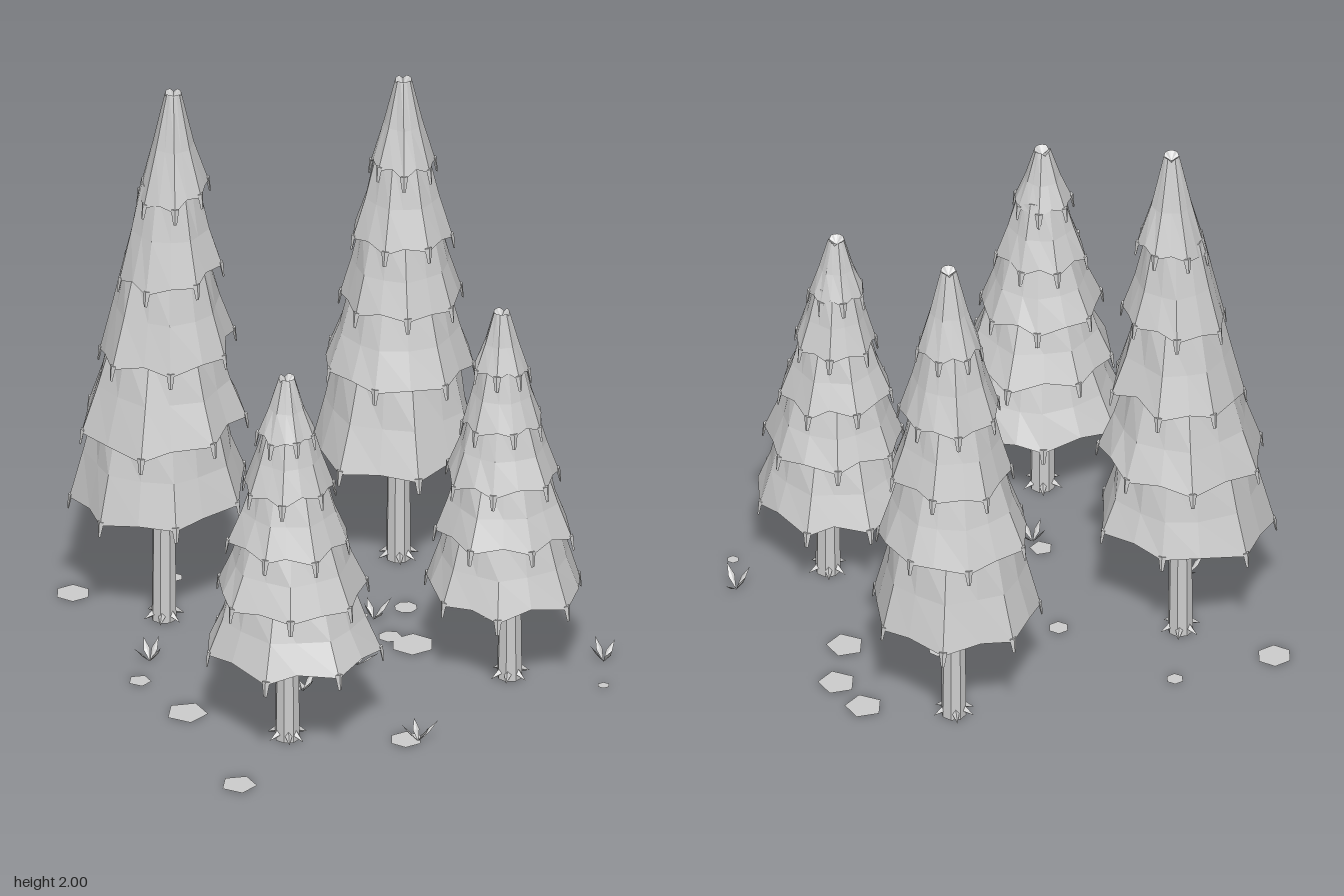
import * as THREE from 'three';

const paleGrey = new THREE.MeshStandardMaterial({ color: 0xcccccc, side: THREE.DoubleSide });
paleGrey.name = 'pale grey';

let seed = 7;
const rand = () => (seed = (seed * 16807) % 2147483647) / 2147483647;
const jitter = (a) => (rand() * 2 - 1) * a;

// Faceted mesh: every face keeps its own normal
function part(geometry, name) {
  const g = geometry.index ? geometry.toNonIndexed() : geometry;
  g.computeVertexNormals();
  const mesh = new THREE.Mesh(g, paleGrey);
  mesh.name = name;
  return mesh;
}

// Skin a stack of rings, from the top down, each with the same point count
function skin(rings) {
  const n = rings[0].length, pos = [], idx = [];
  rings.forEach((ring) => ring.forEach((p) => pos.push(...p)));
  for (let r = 0; r < rings.length - 1; r++) {
    for (let i = 0; i < n; i++) {
      const u0 = r * n + i, u1 = r * n + (i + 1) % n;
      idx.push(u0, u1, u0 + n, u1, u1 + n, u0 + n);
    }
  }
  const g = new THREE.BufferGeometry();
  g.setAttribute('position', new THREE.Float32BufferAttribute(pos, 3));
  g.setIndex(idx);
  return g;
}

const SIDES = 7;

// One skirt of branches: flared, scalloped rim, closed underneath, drooping tips
function makeTier(topY, topR, rimY, rimR, phase, tilt) {
  const tier = new THREE.Group();
  tier.name = 'branchTier';
  const corners = Array.from({ length: SIDES * 2 }, (_, i) => {
    const a = phase + (i + jitter(0.16)) * Math.PI / SIDES;
    return {
      a,
      r: rimR * (i % 2 ? 0.9 : 0.99) * (1 + jitter(0.045)),
      y: rimY + (i % 2 ? 0.02 : 0) + jitter(0.01) + tilt * Math.cos(a),
    };
  });
  const ring = (f) => corners.map((c, i) => {
    const [r, y] = f(c, i);
    return [Math.cos(c.a) * r, y, Math.sin(c.a) * r];
  });
  const h = topY - rimY;
  tier.add(part(skin([
    ring(() => [0, topY - 0.025]),
    ring((c, i) => [topR, topY - (i % 4 === 3 ? 0.012 : 0)]),
    ring((c, i) => [(topR + (c.r - topR) * 0.47) * (i % 2 ? 0.98 : 1), rimY + h * 0.48]),
    ring((c) => [c.r, c.y]),
    ring(() => [rimR * 0.4, rimY + 0.045]),
    ring(() => [0, rimY + 0.05]),
  ]), 'branches'));
  corners.forEach((c, i) => {
    if (i % 2) return;
    const pivot = new THREE.Group();
    pivot.name = 'droopingTip';
    pivot.position.set(Math.cos(c.a) * c.r, c.y, Math.sin(c.a) * c.r);
    pivot.rotation.y = -c.a;
    const tip = part(new THREE.CylinderGeometry(0.014, 0.006, 0.055, 4), 'needleTip');
    tip.position.set(0, -0.014, 0);
    tip.rotation.z = 0.15;
    tip.scale.x = 0.5;
    pivot.add(tip);
    tier.add(pivot);
  });
  return tier;
}

// Pine tree: foliage leans slightly from its base to its tip, the trunk stands upright
function makeTree({ base, tip, stem, height, rims, radii, phase, tilt }) {
  const tree = new THREE.Group();
  tree.name = 'pineTree';
  const last = rims.length - 1;
  rims.forEach((rimY, k) => {
    const topY = k ? rims[k - 1] + 0.045 : height;
    const topR = k ? radii[k - 1] * 0.77 : 0.027;
    const tier = makeTier(topY, topR, rimY, radii[k], phase + (last - k) * 0.5, tilt);
    const t = 1 - k / last;
    tier.position.set(base[0] + (tip[0] - base[0]) * t, 0, base[1] + (tip[1] - base[1]) * t);
    tree.add(tier);
  });
  const foot = new THREE.Group();
  foot.name = 'trunkAndRoots';
  foot.position.set(stem[0], 0, stem[1]);
  // Trunk
  const trunkH = rims[last] + 0.12;
  const trunk = part(new THREE.CylinderGeometry(0.037, 0.043, trunkH, 8), 'trunk');
  trunk.position.y = trunkH / 2;
  foot.add(trunk);
  // Roots
  for (let i = 0; i < 6; i++) {
    const pivot = new THREE.Group();
    pivot.name = 'root';
    pivot.rotation.y = i * Math.PI / 3 + jitter(0.2);
    const root = part(new THREE.ConeGeometry(0.016, 0.05, 4), 'rootSpike');
    root.position.set(0.05, 0.019, 0);
    root.rotation.z = -2.05;
    pivot.add(root);
    foot.add(pivot);
  }
  tree.add(foot);
  return tree;
}

// Grass tuft of four pointed blades
function makeTuft(x, z) {
  const tuft = new THREE.Group();
  tuft.name = 'grassTuft';
  const turn = rand() * 6;
  for (let i = 0; i < 4; i++) {
    const pivot = new THREE.Group();
    pivot.name = 'blade';
    pivot.rotation.set(0, turn + i * Math.PI / 2 + jitter(0.35), -(0.45 + rand() * 0.5));
    const blade = part(new THREE.OctahedronGeometry(1), 'bladeLeaf');
    blade.scale.set(0.003, 0.044 + jitter(0.006), 0.012);
    blade.position.y = blade.scale.y;
    pivot.add(blade);
    tuft.add(pivot);
  }
  tuft.position.set(x, 0.002, z);
  return tuft;
}

export function createModel() {
  const model = new THREE.Group();
  model.name = 'pineGrove';

  const trees = [
    { base: [-0.41, -0.465], tip: [-0.37, -0.445], stem: [-0.405, -0.445],
      height: 2, phase: 0.1, tilt: 0.025,
      rims: [1.62, 1.33, 1.04, 0.76, 0.48], radii: [0.125, 0.182, 0.232, 0.28, 0.3] },
    { base: [0.475, -0.42], tip: [0.49, -0.405], stem: [0.485, -0.43],
      height: 1.84, phase: 0.05, tilt: 0,
      rims: [1.52, 1.25, 1.01, 0.76, 0.45], radii: [0.115, 0.172, 0.215, 0.265, 0.3] },
    { base: [-0.43, 0.485], tip: [-0.46, 0.5], stem: [-0.447, 0.48],
      height: 1.39, phase: -0.24, tilt: 0,
      rims: [1.17, 0.97, 0.77, 0.57, 0.36], radii: [0.1, 0.155, 0.21, 0.26, 0.305] },
    { base: [0.4, 0.45], tip: [0.39, 0.45], stem: [0.41, 0.47],
      height: 1.39, phase: 0.3, tilt: 0,
      rims: [1.17, 0.97, 0.77, 0.57, 0.35], radii: [0.095, 0.145, 0.195, 0.24, 0.275] },
  ];
  trees.forEach((t) => model.add(makeTree(t)));

  // Flat stones: x, z, radius, sides
  [
    [-0.59, -0.74, 0.06, 6], [-0.24, -0.67, 0.03, 6], [-0.065, -0.22, 0.035, 6],
    [-0.69, -0.1, 0.04, 5], [-0.66, 0.17, 0.072, 5], [-0.255, 0.185, 0.04, 5],
    [-0.75, 0.69, 0.062, 5], [-0.11, 0.69, 0.056, 6], [0.19, 0.04, 0.04, 7],
    [0.23, 0.125, 0.075, 6], [0.335, -0.11, 0.04, 8], [0.185, -0.13, 0.017, 6],
    [0.725, -0.08, 0.065, 5], [0.59, 0.08, 0.065, 5], [0.72, -0.24, 0.065, 5],
    [0.65, 0.685, 0.021, 6],
  ].forEach(([x, z, r, sides], i) => {
    const stone = part(new THREE.CircleGeometry(r, sides, Math.PI), 'flatStone');
    stone.position.set(x, 0.002 + i * 0.0001, z);
    stone.rotation.x = -Math.PI / 2;
    model.add(stone);
  });

  [[0.2, -0.09], [0, 0.16], [-0.25, 0.23], [-0.08, 0.72], [0.73, 0.54], [-0.595, -0.2]]
    .forEach(([x, z]) => model.add(makeTuft(x, z)));

  return model;
}
